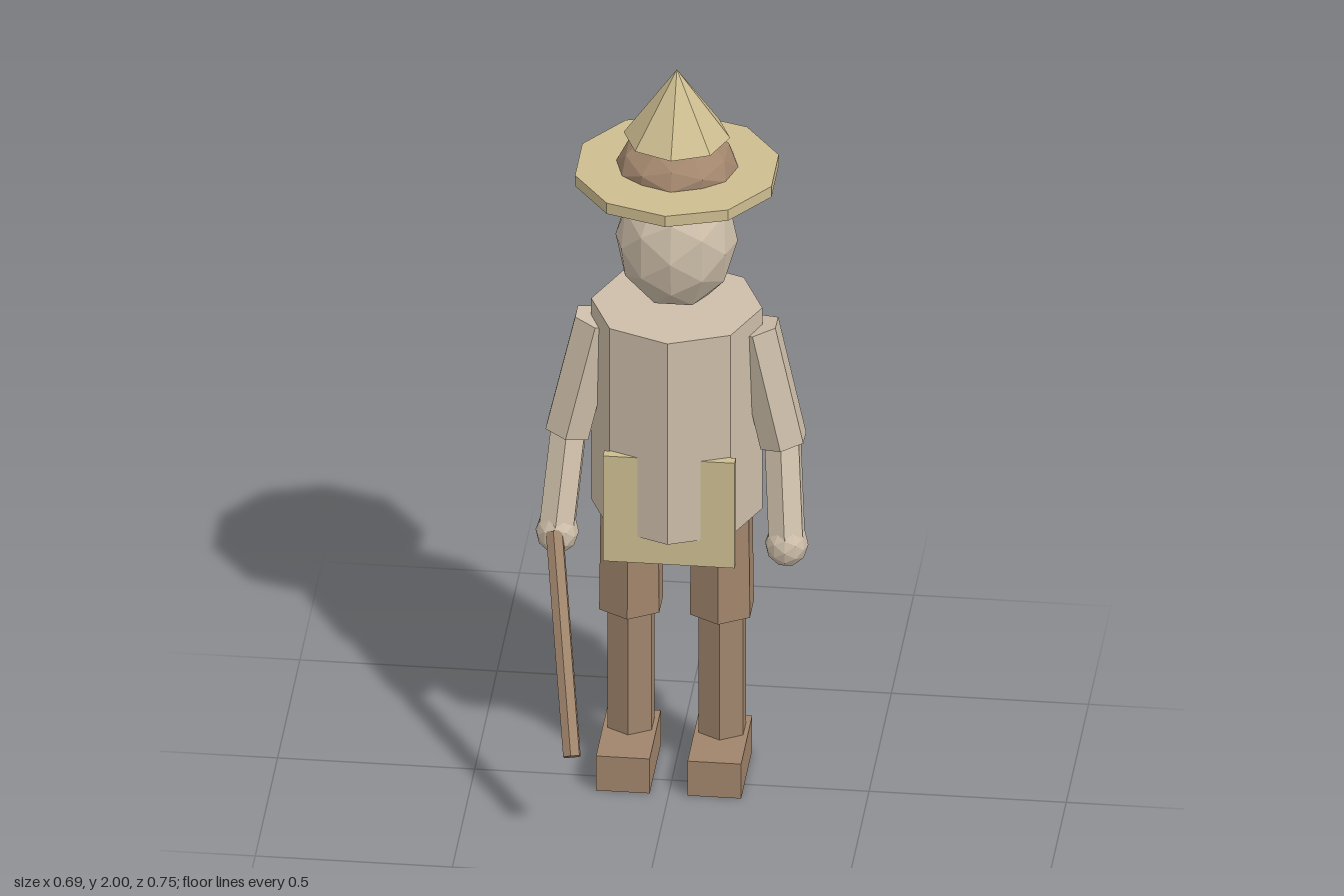
import * as THREE from 'three';

const makeMaterial = (name, color) => {
  const m = new THREE.MeshStandardMaterial({ color, flatShading: true });
  m.name = name;
  return m;
};

export function createModel() {
  const model = new THREE.Group();
  model.name = 'farmer';
  const straw = makeMaterial('straw', 0xcdbd90);
  const pale = makeMaterial('pale cloth and skin', 0xcdbea9);
  const brown = makeMaterial('brown', 0xa1856c);

  const add = (name, geometry, material, x, y, z) => {
    const mesh = new THREE.Mesh(geometry, material);
    mesh.name = name;
    mesh.position.set(x, y, z);
    model.add(mesh);
    return mesh;
  };

  // Straight six-sided bar from point a down to point b
  const rod = (name, a, b, radius, material) => {
    const from = new THREE.Vector3(...a), to = new THREE.Vector3(...b);
    const axis = from.clone().sub(to);
    const mid = from.clone().add(to).multiplyScalar(0.5);
    const geometry = new THREE.CylinderGeometry(radius, radius, axis.length(), 6);
    const mesh = add(name, geometry, material, mid.x, mid.y, mid.z);
    mesh.quaternion.setFromUnitVectors(new THREE.Vector3(0, 1, 0), axis.normalize());
    return mesh;
  };

  // Faceted ball stretched along each axis
  const ball = (name, rx, ry, rz, material, x, y, z) =>
    add(name, new THREE.IcosahedronGeometry(1, 1).scale(rx, ry, rz), material, x, y, z);

  const bodyZ = -0.11;

  // Torso and apron
  add('torso', new THREE.CylinderGeometry(0.217, 0.217, 0.583, 8).scale(1, 1, 0.965),
    pale, 0, 1.032, bodyZ);
  add('apron', new THREE.BoxGeometry(0.334, 0.305, 0.027), straw, 0, 0.817, 0.054);

  // Head, hair and hat
  ball('head', 0.155, 0.19, 0.146, pale, 0, 1.517, -0.107);
  ball('hair', 0.155, 0.086, 0.148, brown, 0, 1.721, -0.121);
  add('hatBrim', new THREE.CylinderGeometry(0.262, 0.262, 0.031, 10), straw, 0, 1.707, -0.113);
  add('hatCrown', new THREE.ConeGeometry(0.135, 0.19, 8), straw, 0, 1.905, -0.113);

  // Arms and legs, mirrored
  for (const [side, s] of [['left', 1], ['right', -1]]) {
    rod(side + 'UpperArm', [s * 0.2, 1.272, -0.107], [s * 0.273, 0.953, -0.088], 0.064, pale);
    rod(side + 'Forearm', [s * 0.27, 0.975, -0.093], [s * 0.291, 0.72, -0.004], 0.05, pale);
    ball(side + 'Hand', 0.055, 0.06, 0.055, pale, s * 0.291, 0.705, -0.003);

    add(side + 'Thigh', new THREE.CylinderGeometry(0.084, 0.088, 0.32, 6), brown,
      s * 0.115, 0.61, -0.104);
    add(side + 'Shin', new THREE.CylinderGeometry(0.065, 0.065, 0.37, 6), brown,
      s * 0.116, 0.275, -0.107);
    add(side + 'Foot', new THREE.BoxGeometry(0.136, 0.1, 0.248), brown,
      s * 0.116, 0.05, -0.051);
  }

  // Walking stick held in the right hand
  rod('walkingStick', [-0.294, 0.72, 0.03], [-0.213, 0.257, 0.356], 0.024, brown);

  return model;
}
